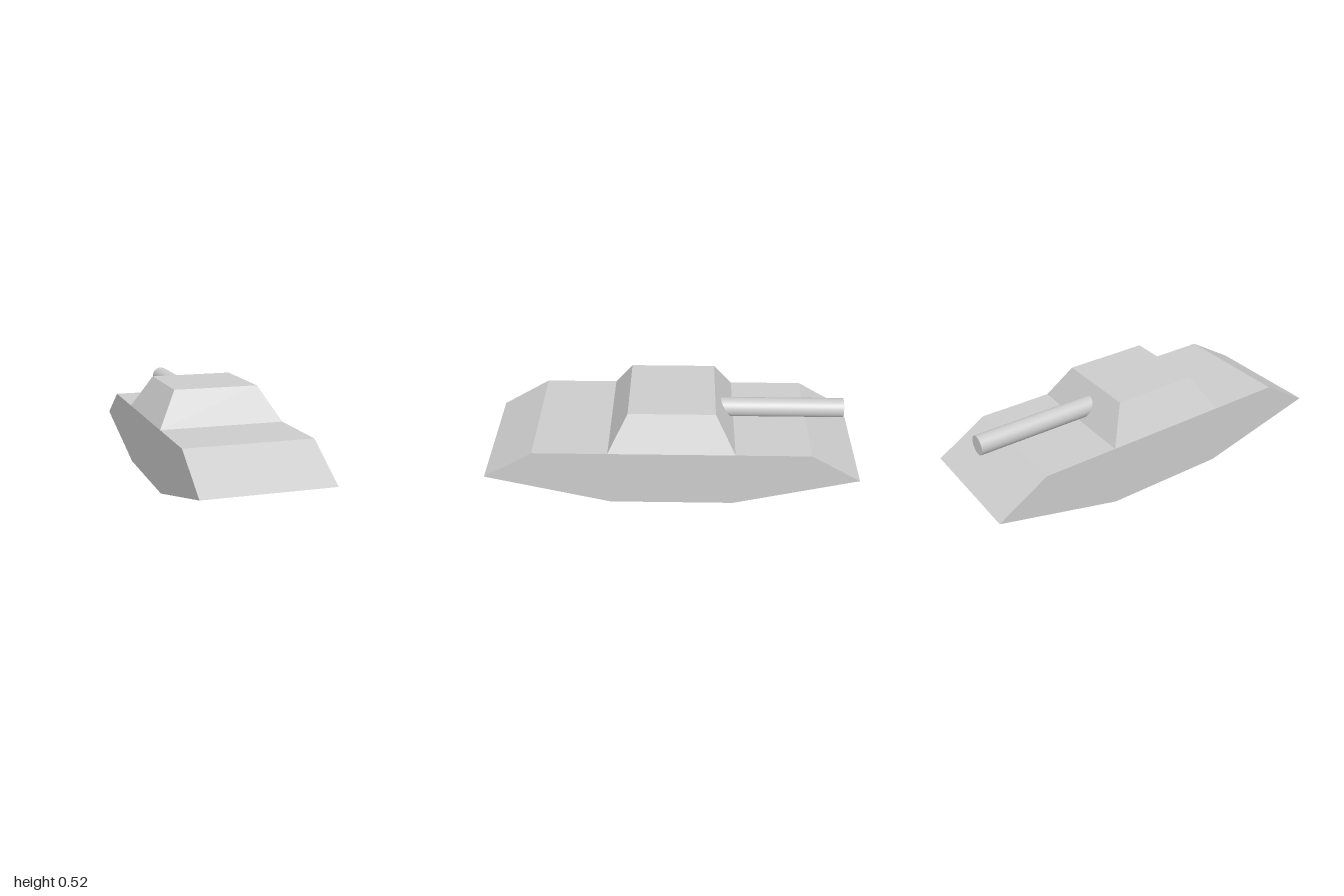
import * as THREE from 'three';

export function createModel() {
  const group = new THREE.Group();
  const flat = new THREE.MeshStandardMaterial({ color: 0xcccccc, flatShading: true });
  const smooth = new THREE.MeshStandardMaterial({ color: 0xcccccc });

  const add = (name, geometry, material) => {
    const mesh = new THREE.Mesh(geometry, material);
    mesh.name = name;
    group.add(mesh);
    return mesh;
  };

  // Hull: six-sided side profile (z, y) extruded across the width
  const width = 0.667;
  const half = [[0.333, 0], [1, 0.168], [0.73, 0.334]];
  const mirrored = half.map(([z, y]) => [-z, y]).reverse();
  const profile = [...half, ...mirrored].map(([z, y]) => new THREE.Vector2(z, y));
  const hull = new THREE.ExtrudeGeometry(new THREE.Shape(profile), { depth: width, bevelEnabled: false });
  hull.translate(0, 0, -width / 2).rotateY(-Math.PI / 2);
  add('hull', hull, flat);

  // Turret: square frustum, its corners turned onto the diagonals
  const turretHeight = 0.183;
  const turret = new THREE.CylinderGeometry(
    0.228 * Math.SQRT2, 0.3335 * Math.SQRT2, turretHeight, 4, 1, false, Math.PI / 4);
  add('turret', turret, flat).position.y = 0.334 + turretHeight / 2;

  // Gun barrel: runs from inside the turret towards -z
  const start = -0.2, end = -0.925;
  const barrel = new THREE.CylinderGeometry(0.052, 0.052, start - end, 32).rotateX(Math.PI / 2);
  add('gunBarrel', barrel, smooth).position.set(0, 0.405, (start + end) / 2);

  return group;
}
